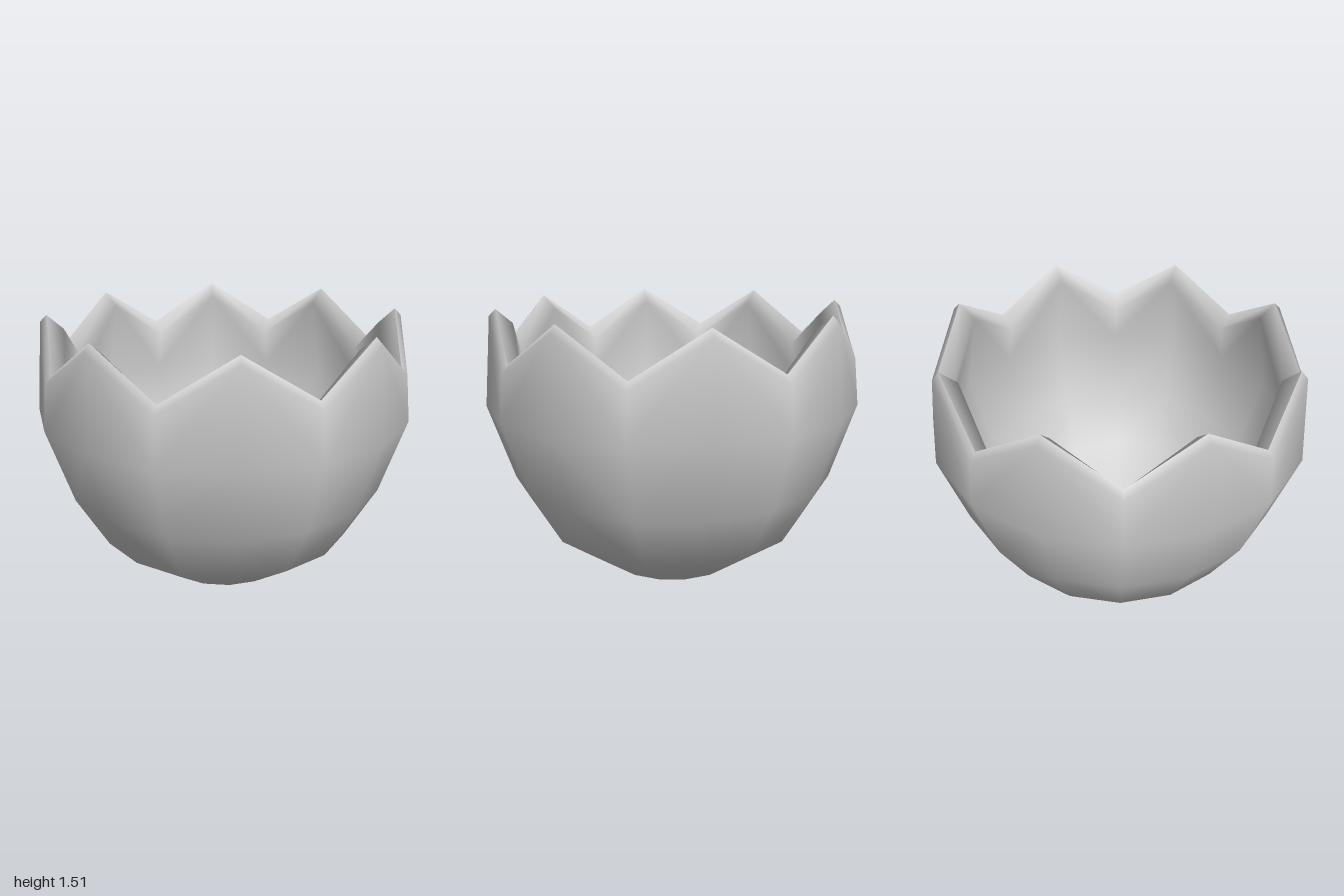
import * as THREE from 'three';

const SIDES = 16;
const TURN = THREE.MathUtils.degToRad(4.6);

// Each ring: [radius at valleys, height at valleys, radius at peaks, height at peaks]
const even = (r, y) => [r, y, r, y];
const OUTER = [
  even(0.37, 0.07), even(0.70, 0.302), even(0.87, 0.595), even(1.003, 1.0),
  [0.978, 1.245, 0.96, 1.475], // start of the rim bevel
  [0.945, 1.282, 0.925, 1.51], // crest
];
const INNER = [
  even(0.33, 0.15), even(0.63, 0.36), even(0.80, 0.63), even(0.92, 1.0),
  [0.87, 1.215, 0.84, 1.435], // inner edge of the rim
  [0.945, 1.282, 0.925, 1.51], // crest
];

// Skin a fan from the bottom point, then bands between the zigzag rings
function bowl(rings, bottom, inward) {
  const pos = [0, bottom, 0];
  const index = [];
  const tri = (a, b, c) => (inward ? index.push(a, c, b) : index.push(a, b, c));
  rings.forEach(([rv, yv, rp, yp], j) => {
    for (let k = 0; k < SIDES; k++) {
      const t = TURN + (k / SIDES) * Math.PI * 2;
      const peak = k % 2 === 1;
      const r = peak ? rp : rv;
      pos.push(r * Math.cos(t), peak ? yp : yv, r * Math.sin(t));
      const next = (k + 1) % SIDES;
      const a = 1 + j * SIDES + k, b = 1 + j * SIDES + next;
      if (j === 0) {
        tri(0, a, b);
      } else {
        const c = a - SIDES, d = b - SIDES;
        // Mirror the diagonal on alternate sides so each tooth is symmetric
        if (peak) { tri(c, a, d); tri(d, a, b); }
        else { tri(c, a, b); tri(c, b, d); }
      }
    }
  });
  const geo = new THREE.BufferGeometry();
  geo.setAttribute('position', new THREE.Float32BufferAttribute(pos, 3));
  geo.setIndex(index);
  geo.computeVertexNormals();
  return geo;
}

export function createModel() {
  const group = new THREE.Group();
  group.name = 'brokenEggshell';
  const material = new THREE.MeshStandardMaterial({ color: 0xcccccc });

  // Outer skin and inner skin meet in a sharp crest at the jagged rim
  const outer = new THREE.Mesh(bowl(OUTER, 0.003, false), material);
  outer.name = 'outerShell';
  const inner = new THREE.Mesh(bowl(INNER, 0.085, true), material);
  inner.name = 'innerShell';
  group.add(outer, inner);

  // The shell leans very slightly
  group.rotation.set(0.006, 0, 0.007);
  return group;
}
